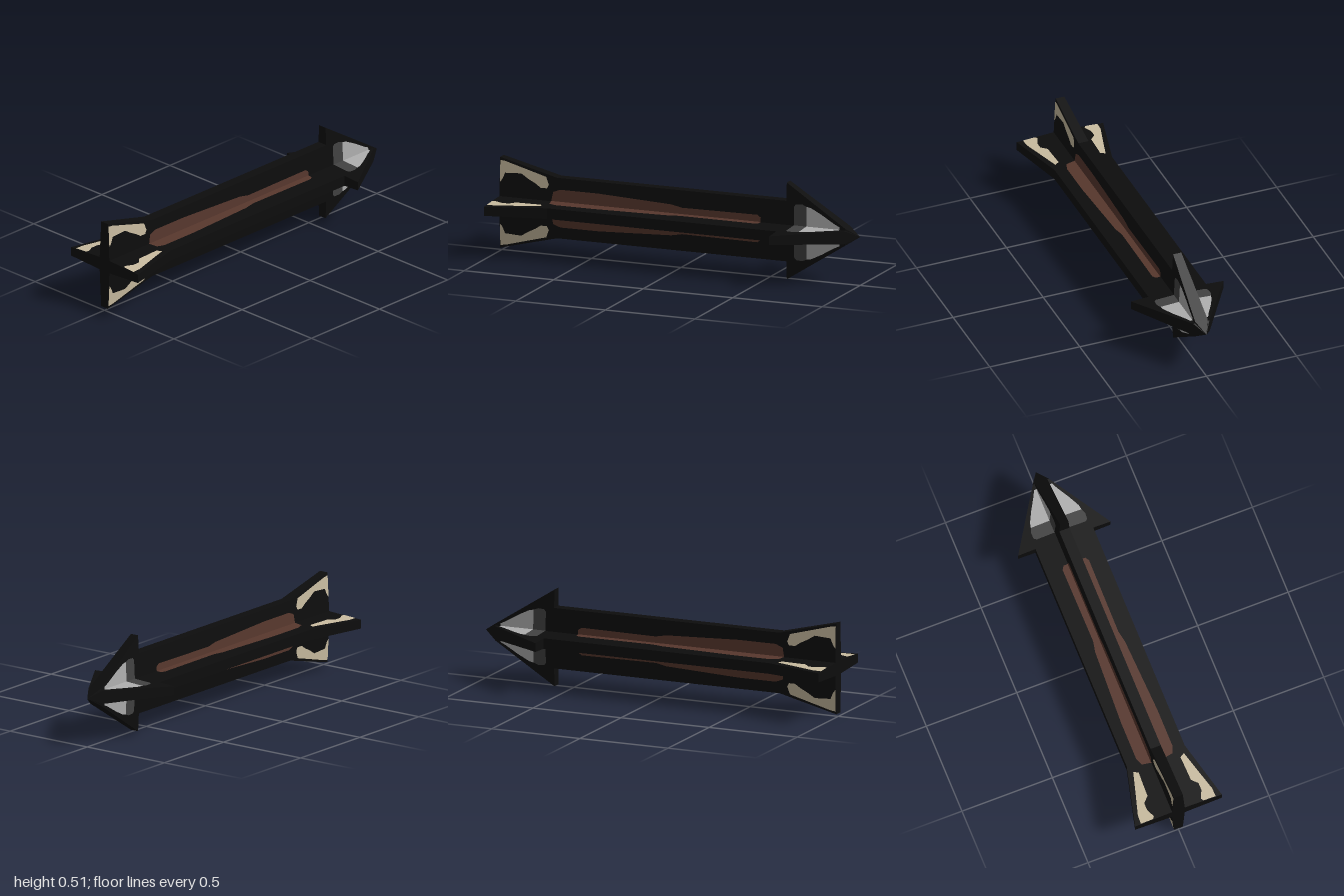
import * as THREE from 'three';

const CORE = 0.035;                                        // half-width of the central core
const halfThick = (r) => CORE - (r - CORE) * 0.0543;       // plates thin towards their edge

const paint = (name, color) => {
  const m = new THREE.MeshStandardMaterial({ color });
  m.name = name;
  return m;
};

// Twelve-cornered cross with arms of radius R (R = 0 gives a point)
function crossSection(R, z) {
  const pts = [];
  for (let k = 0; k < 4; k++) {
    const t = R ? halfThick(R) : 0, c = R ? CORE : 0;
    for (const [x, y] of [[R, -t], [R, t], [c, c]]) {
      const v = new THREE.Vector3(x, y, z);
      pts.push(v.applyAxisAngle(new THREE.Vector3(0, 0, 1), k * Math.PI / 2));
    }
  }
  return pts;
}

// Loft through [R, z] stations ordered back to front, closed at the front
function loftCross(stations) {
  const rings = stations.map(([R, z]) => crossSection(R, z));
  const tris = [];
  for (let i = 0; i < rings.length - 1; i++) {
    const a = rings[i], b = rings[i + 1];
    for (let j = 0; j < 12; j++) {
      const n = (j + 1) % 12;
      tris.push(a[j], a[n], b[n], a[j], b[n], b[j]);
    }
  }
  const last = rings[rings.length - 1];
  const centre = new THREE.Vector3(0, 0, last[0].z);
  for (let j = 0; j < 12; j++) tris.push(centre, last[j], last[(j + 1) % 12]);
  const g = new THREE.BufferGeometry().setFromPoints(tris);
  g.computeVertexNormals();
  return g;
}

// Thin painted patch lying on one side (+1 / -1) of a plate, outline in (radius, z)
function patchGeometry(outline, side) {
  const g = new THREE.ShapeGeometry(new THREE.Shape(outline.map(([r, z]) => new THREE.Vector2(r, z))));
  const p = g.attributes.position;
  for (let i = 0; i < p.count; i++) {
    const r = p.getX(i), z = p.getY(i);
    p.setXYZ(i, r, side * (halfThick(r) + 0.002), z);
  }
  if (side > 0) g.index.array.reverse();
  g.computeVertexNormals();
  return g;
}

export function createModel() {
  const model = new THREE.Group();
  model.name = 'arrow';
  const black = paint('black', 0x0d0d0d);
  const brown = paint('woodBrown', 0x57372d);
  const cream = paint('featherCream', 0xc9bca0);
  const lightGrey = paint('steelLight', 0xaeaeae);
  const darkGrey = paint('steelDark', 0x424242);

  const add = (name, geometry, material) => {
    const mesh = new THREE.Mesh(geometry, material);
    mesh.name = name;
    mesh.position.y = 0.256;
    model.add(mesh);
    return mesh;
  };

  // Solid cross-shaped parts
  add('arrowhead', loftCross([[0, -1], [0.045, -0.93], [0.256, -0.6]]), black);
  add('shaftAndFins', loftCross([[0.16, -0.6], [0.16, 0.68], [0.24, 1]]), black);

  // Painted patches, repeated on both sides of every plate
  const wood = [[CORE, -0.46], [0.06, -0.46], [0.073, -0.44], [0.07, -0.02], [0.082, 0.04],
    [0.1, 0.45], [0.1, 0.66], [0.085, 0.7], [CORE, 0.71]];
  const steelTip = [[CORE, -0.9], [0.05, -0.9], [0.064, -0.87], [0.105, -0.8], [0.135, -0.74],
    [0.14, -0.715], [CORE, -0.715]];
  const steelBase = [[CORE, -0.715], [0.14, -0.715], [0.15, -0.69], [0.148, -0.655],
    [0.135, -0.645], [CORE, -0.645]];
  const sideFeather = [[0.115, 0.735], [0.14, 0.72], [0.165, 0.81], [0.205, 0.95], [0.207, 0.998],
    [0.14, 0.998], [0.13, 0.985], [0.15, 0.94], [0.15, 0.9], [0.12, 0.87], [0.118, 0.8]];
  const uprightFeather = [[0.1, 0.735], [0.12, 0.725], [0.16, 0.74], [0.222, 0.97], [0.225, 0.998],
    [0.11, 0.998], [0.125, 0.985], [0.16, 0.97], [0.165, 0.88], [0.14, 0.84], [0.12, 0.8], [0.1, 0.77]];

  for (let k = 0; k < 4; k++) {
    const patches = [
      ['woodPanel', wood, brown],
      ['steelTip', steelTip, lightGrey],
      ['steelBase', steelBase, darkGrey],
      ['feather', k % 2 ? uprightFeather : sideFeather, cream],
    ];
    for (const side of [-1, 1]) {
      for (const [name, outline, material] of patches) {
        add(name, patchGeometry(outline, side), material).rotation.z = k * Math.PI / 2;
      }
    }
  }
  return model;
}
